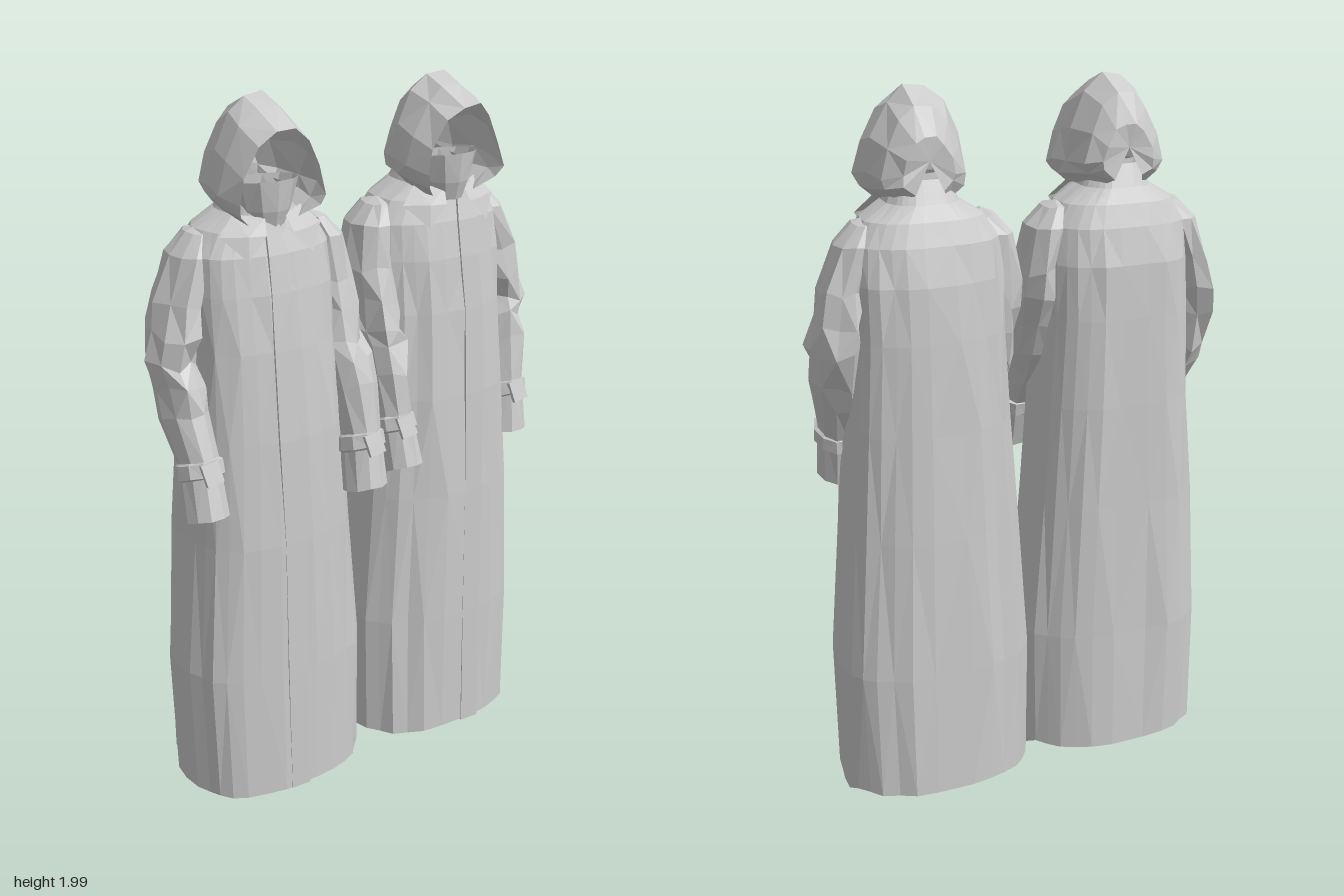
import * as THREE from 'three';

const cloth = new THREE.MeshStandardMaterial({ color: 0xcccccc, flatShading: true, side: THREE.DoubleSide });
cloth.name = 'grey cloth';

// seeded noise in -1..1 for cloth creases
let seed = 7;
const noise = () => {
  seed = (seed * 16807) % 2147483647;
  return (seed / 2147483647) * 2 - 1;
};

// skin a surface over rows of points
function loft(name, rows, closed) {
  const n = rows[0].length, pos = rows.flat(2), index = [];
  for (let i = 0; i < rows.length - 1; i++) {
    for (let j = 0; j < (closed ? n : n - 1); j++) {
      const k = (j + 1) % n, a = i * n + j, b = i * n + k, c = a + n, d = b + n;
      if ((i + j) % 2) index.push(a, c, b, b, c, d);
      else index.push(a, c, d, a, d, b);
    }
  }
  const geo = new THREE.BufferGeometry();
  geo.setAttribute('position', new THREE.Float32BufferAttribute(pos, 3));
  geo.setIndex(index);
  geo.computeVertexNormals();
  const mesh = new THREE.Mesh(geo, cloth);
  mesh.name = name;
  return mesh;
}

// body sections, hem to neck: height, half width, front z, back z
const BODY = [
  [0.02, 0.272, 0.192, -0.215],
  [0.4, 0.28, 0.188, -0.215],
  [0.8, 0.25, 0.18, -0.21],
  [1.1, 0.228, 0.17, -0.205],
  [1.35, 0.212, 0.148, -0.2],
  [1.5, 0.212, 0.13, -0.19],
  [1.6, 0.205, 0.112, -0.168],
  [1.66, 0.165, 0.092, -0.145],
  [1.7, 0.1, 0.08, -0.12],
  [1.76, 0.07, 0.07, -0.09],
];

const power = (v, p) => Math.sign(v) * Math.abs(v) ** p;

function body(flare, shift) {
  const n = 30;
  const folds = Array.from({ length: n }, () => noise());
  const rows = BODY.map(([y, hw, zf, zb], i) => {
    const back = zb - (flare * (1.7 - y)) / 1.7, mid = (zf + back) / 2;
    const amp = i < 6 ? 0.007 : 0.003;
    return folds.map((f, j) => {
      const a = (j / n) * Math.PI * 2, c = Math.cos(a), s = Math.sin(a);
      const r = 1 + (amp * (f + 0.7 * noise())) / 0.2;
      const lift = i === 0 ? (s < -0.3 ? 0.015 : -0.008) + 0.004 * f : 0;
      return [hw * power(c, 0.72) * Math.min(r, 1.02), y + lift, shift + mid + ((zf - back) / 2) * power(s, 0.8) * r];
    });
  });
  return loft('coatBody', rows, true);
}

// overlapping front strip that follows the body profile
function placket(x, width, shift) {
  const rows = BODY.slice(0, 9).map(([y, , zf], i) => {
    const w = width * (i > 6 ? 0.7 : 1), z = zf + shift;
    const sway = 0.006 * noise();
    return [
      [x - w + sway, y - (i ? 0 : 0.008), z - 0.012],
      [x - w + sway, y - (i ? 0 : 0.008), z + 0.008],
      [x + w + sway, y - (i ? 0 : 0.008), z + 0.008],
      [x + w + sway, y - (i ? 0 : 0.008), z - 0.012],
    ].reverse();
  });
  return loft('placket', rows, false);
}

// sleeve radii from cuff to shoulder: height, across, deep
const SLEEVE = [
  [0.92, 0.06, 0.06], [1.07, 0.052, 0.066], [1.18, 0.062, 0.088], [1.25, 0.066, 0.1], [1.32, 0.07, 0.106],
  [1.4, 0.066, 0.108], [1.48, 0.062, 0.105], [1.6, 0.056, 0.088], [1.65, 0.03, 0.055], [1.665, 0, 0],
];

// centres: [height, x, z] from cuff to shoulder
function sleeve(centres) {
  const g = new THREE.Group();
  g.name = 'sleeve';
  const at = (y) => {
    let i = 0;
    while (i < centres.length - 2 && y > centres[i + 1][0]) i++;
    const [p, q] = [centres[i], centres[i + 1]], t = (y - p[0]) / (q[0] - p[0]);
    return [p[1] + (q[1] - p[1]) * t, p[2] + (q[2] - p[2]) * t];
  };
  const ring = (y, rx, rz, n, amp) => {
    const [cx, cz] = at(y), tilt = y < 1.3 ? 0.35 : 0;
    return Array.from({ length: n }, (_, j) => {
      const a = (j / n) * Math.PI * 2, r = 1 + amp * noise();
      const dz = Math.sin(a) * rz * r;
      return [cx + Math.cos(a) * rx * r, y + dz * tilt + (rx ? amp * 0.08 * noise() : 0), cz + dz];
    });
  };
  g.add(loft('sleeveTube', SLEEVE.map(([y, rx, rz], i) => ring(y, rx, rz, 10, i > 1 && i < 7 ? 0.17 : 0.04)), true));
  // cuff strap and its tab
  g.add(loft('cuffStrap', [[1.025, 0.058], [1.03, 0.064], [1.065, 0.062], [1.07, 0.054]]
    .map(([y, r]) => ring(y, r, r + 0.008, 10, 0.02)), true));
  const [tx, tz] = at(1.045);
  const tab = new THREE.Mesh(new THREE.BoxGeometry(0.05, 0.06, 0.012), cloth);
  tab.name = 'cuffTab';
  tab.position.set(tx, 1.06, tz + 0.07);
  tab.rotation.set(-0.35, 0, 0.15);
  g.add(tab);
  return g;
}

// hood arches, back to front: z, bottom, top, half width
const HOOD = [
  [-0.13, 1.81, 1.81, 0], [-0.132, 1.73, 1.88, 0.075], [-0.09, 1.7, 1.955, 0.115],
  [-0.01, 1.685, 2, 0.138], [0.06, 1.68, 1.975, 0.142], [0.16, 1.68, 1.93, 0.125],
];
const ARCH = [[-0.55, 0], [-0.92, 0.14], [-1, 0.27], [-0.86, 0.55], [-0.55, 0.84], [-0.22, 0.97],
  [0.22, 0.98], [0.55, 0.84], [0.86, 0.55], [1, 0.27], [0.92, 0.14], [0.55, 0]];

function hood() {
  const g = new THREE.Group();
  g.name = 'hood';
  const rows = HOOD.map(([z, lo, hi, hw], i) => ARCH.map(([u, v]) => {
    const front = i === 5 ? (v < 0.1 ? -0.075 : v < 0.2 ? -0.03 : -0.025 * Math.abs(u)) : 0;
    const k = i ? 0.006 : 0;
    return [u * hw + k * noise(), lo + v * (hi - lo) + k * noise(), z + front + k * noise()];
  }));
  g.add(loft('hoodShell', rows, false));
  // throat piece closed below the face opening
  const throat = [[1.66, 0.055, 0.095], [1.71, 0.075, 0.11], [1.78, 0.098, 0.12]].map(([y, hw, zf]) =>
    Array.from({ length: 12 }, (_, j) => {
      const a = (j / 12) * Math.PI * 2, s = Math.sin(a);
      return [Math.cos(a) * hw, y + (y > 1.75 ? 0.012 * s : 0), 0.02 + s * (s > 0 ? zf - 0.02 : 0.09)];
    }));
  g.add(loft('throat', throat, true));
  return g;
}

// pointed collar flap
function collar(side, shift) {
  const p = [[0.03, 1.695, 0.095], [0.04, 1.655, 0.12], [0.095, 1.595, 0.125], [0.15, 1.655, 0.07], [0.1, 1.705, 0.05]];
  const pts = p.map(([x, y, z]) => [x * side, y, z + shift]);
  const mid = [0.085 * side, 1.655, 0.108 + shift];
  const edge = [...pts, pts[0]];
  return loft('collarFlap', side > 0 ? [edge.map(() => mid), edge] : [edge, edge.map(() => mid)], false);
}

function coat(name, x, o) {
  const g = new THREE.Group();
  g.name = name;
  const torso = new THREE.Group();
  torso.name = 'torso';
  torso.position.x = x;
  torso.add(body(o.flare, o.shift), placket(o.placket, 0.03, o.shift), hood());
  for (const s of [-1, 1]) torso.add(collar(s, o.shift * 0.5));
  g.add(torso);
  for (const s of o.sleeves) g.add(sleeve(s));
  return g;
}

export function createModel() {
  const model = new THREE.Group();
  model.name = 'hoodedCoats';
  model.add(coat('rightCoat', -0.28, {
    flare: 0, shift: 0, placket: -0.01,
    sleeves: [
      [[0.92, -0.53, 0.145], [1.07, -0.525, 0.09], [1.18, -0.53, 0.03], [1.32, -0.535, -0.03], [1.48, -0.505, -0.04], [1.6, -0.465, -0.04], [1.67, -0.43, -0.04]],
      [[0.92, -0.07, 0.2], [1.07, -0.06, 0.155], [1.18, -0.06, 0.1], [1.32, -0.06, 0.02], [1.48, -0.06, -0.02], [1.6, -0.075, -0.03], [1.67, -0.11, -0.03]],
    ],
  }));
  model.add(coat('leftCoat', 0.29, {
    flare: 0.025, shift: -0.022, placket: 0.045,
    sleeves: [
      [[0.92, 0.09, 0.14], [1.07, 0.08, 0.1], [1.18, 0.075, 0.06], [1.32, 0.075, 0], [1.48, 0.075, -0.03], [1.6, 0.09, -0.04], [1.67, 0.12, -0.04]],
      [[0.92, 0.505, 0.085], [1.07, 0.515, 0.05], [1.18, 0.53, 0], [1.32, 0.54, -0.045], [1.48, 0.52, -0.05], [1.6, 0.475, -0.05], [1.67, 0.44, -0.05]],
    ],
  }));
  return model;
}
